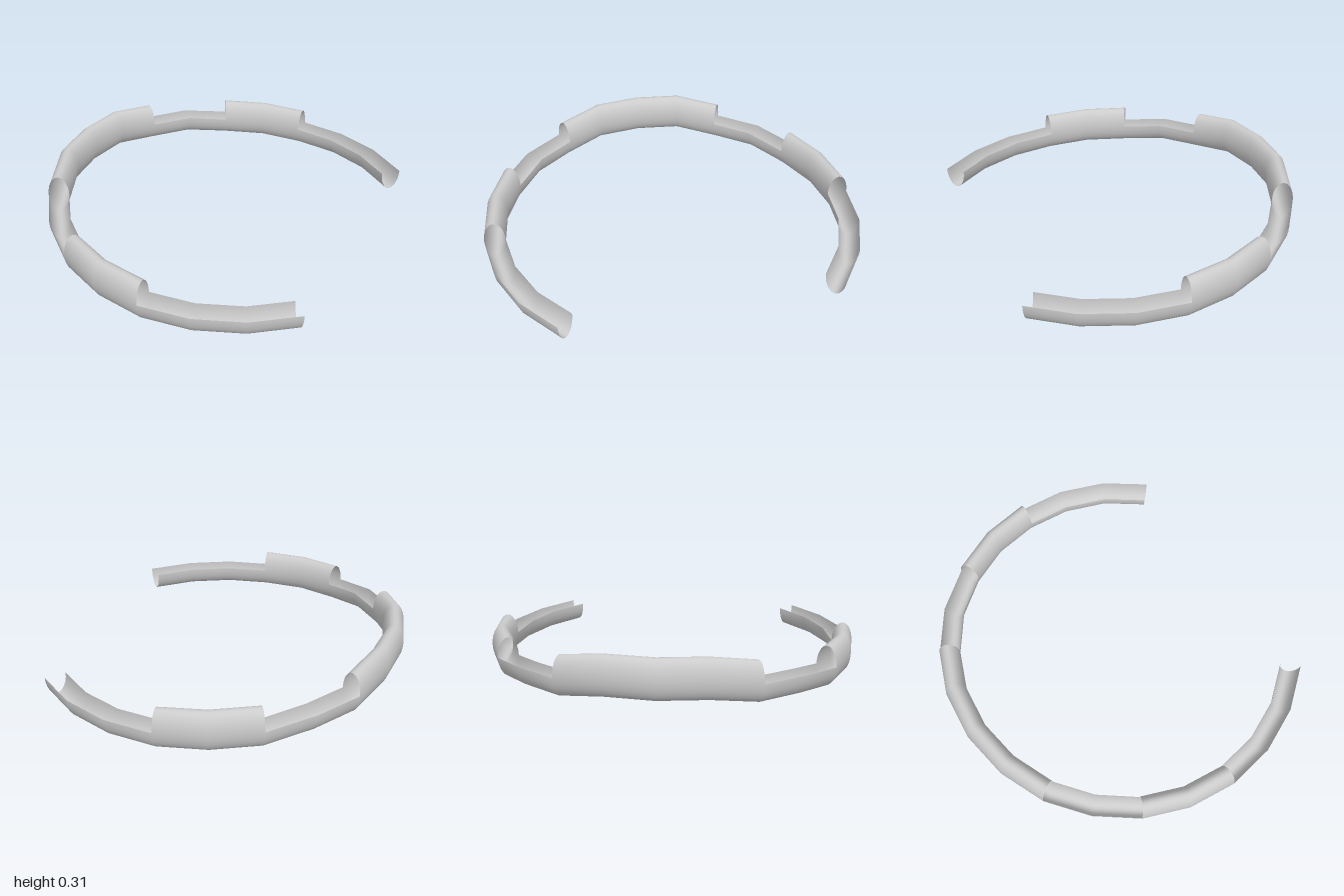
import * as THREE from 'three';

const MID_RADIUS = 0.945, HALF_WIDTH = 0.055, HALF_HEIGHT = 0.105, CENTRE_X = 0.146;
const STEP = Math.PI / 12; // the ring is made of 15 degree pieces
const ARC_SIDES = 12;
// height of the tube axis at each step away from the middle of the closed side
const AXIS_Y = [0.2, 0.2, 0.16, 0.153, 0.122, 0.115, 0.105, 0.105, 0.105, 0.105];

const material = new THREE.MeshStandardMaterial({ color: 0xcccccc, side: THREE.DoubleSide });

// Sweeps half an ellipse (angles t0 to t0 + PI) along the ring between two steps
function sweptShell(name, from, to, t0) {
  const positions = [], normals = [], index = [];
  const row = ARC_SIDES + 1;
  for (let i = from; i <= to; i++) {
    const phi = i * STEP, y = AXIS_Y[Math.abs(i)];
    const outX = -Math.cos(phi), outZ = Math.sin(phi);
    for (let j = 0; j < row; j++) {
      const t = t0 + (j / ARC_SIDES) * Math.PI;
      const c = Math.cos(t), s = Math.sin(t);
      const r = MID_RADIUS + HALF_WIDTH * c;
      positions.push(CENTRE_X + outX * r, y + HALF_HEIGHT * s, outZ * r);
      const n = new THREE.Vector3(outX * c / HALF_WIDTH, s / HALF_HEIGHT, outZ * c / HALF_WIDTH).normalize();
      normals.push(n.x, n.y, n.z);
      if (i < to && j < ARC_SIDES) {
        const a = (i - from) * row + j, b = a + row;
        index.push(a, b, a + 1, b, b + 1, a + 1);
      }
    }
  }
  const geometry = new THREE.BufferGeometry();
  geometry.setAttribute('position', new THREE.Float32BufferAttribute(positions, 3));
  geometry.setAttribute('normal', new THREE.Float32BufferAttribute(normals, 3));
  geometry.setIndex(index);
  const mesh = new THREE.Mesh(geometry, material);
  mesh.name = name;
  return mesh;
}

export function createModel() {
  const group = new THREE.Group();
  group.name = 'curvedTrack';
  // open trough along the whole ring
  group.add(sweptShell('trough', -9, 9, Math.PI));
  // arched covers that close parts of it into a tunnel
  group.add(sweptShell('middleCover', -2, 2, 0));
  group.add(sweptShell('frontCover', 4, 6, 0));
  group.add(sweptShell('backCover', -6, -4, 0));
  return group;
}
